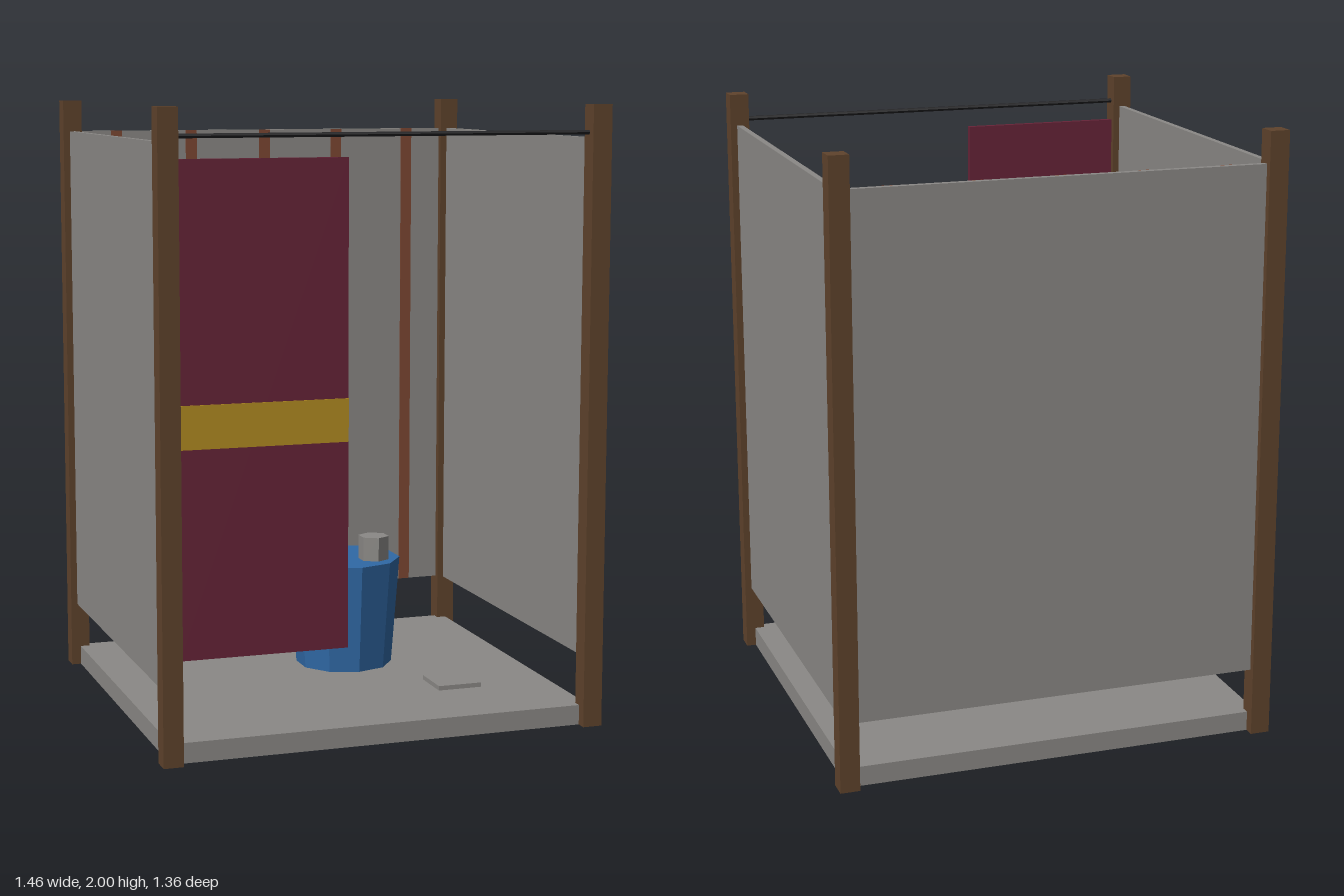
import * as THREE from 'three';

const mat = (name, color) => {
  const m = new THREE.MeshStandardMaterial({ color, flatShading: true });
  m.name = name;
  return m;
};

export function createModel() {
  const grey = mat('grey', 0x8b8986);
  const wood = mat('brown wood', 0x5f432c);
  const rust = mat('rust', 0x7d4833);
  const maroon = mat('maroon', 0x672438);
  const gold = mat('gold', 0xb48c22);
  const blue = mat('blue', 0x3069a6);
  const black = mat('black', 0x222224);

  const group = new THREE.Group();
  const add = (name, geometry, material, x, y, z) => {
    const mesh = new THREE.Mesh(geometry, material);
    mesh.name = name;
    mesh.position.set(x, y, z);
    group.add(mesh);
    return mesh;
  };
  // Box given by its min and max on each axis
  const box = (name, material, [x0, x1], [y0, y1], [z0, z1]) =>
    add(name, new THREE.BoxGeometry(x1 - x0, y1 - y0, z1 - z0), material,
      (x0 + x1) / 2, (y0 + y1) / 2, (z0 + z1) / 2);

  // Floor tray and drain cover
  box('floor', grey, [-0.7, 0.7], [0, 0.065], [-0.645, 0.645]);
  box('drain', grey, [0.3, 0.45], [0.065, 0.08], [0.19, 0.34]);

  // Corner posts
  for (const x of [-0.7, 0.7])
    for (const z of [-0.648, 0.648])
      box('post', wood, [x - 0.032, x + 0.032], [0, 2], [z - 0.032, z + 0.032]);

  // Three wall panels, raised off the floor
  const wallY = [0.22, 1.895];
  box('backWall', grey, [-0.7, 0.7], wallY, [-0.659, -0.638]);
  for (const s of [-1, 1])
    box('sideWall', grey, [s * 0.7 - 0.01, s * 0.7 + 0.01], wallY, [-0.645, 0.645]);

  // Rust streaks down the inside of the back wall
  for (let i = -2; i <= 2; i++)
    box('rustStreak', rust, [i * 0.27 - 0.02, i * 0.27 + 0.02], wallY, [-0.639, -0.635]);

  // Curtain rail, curtain and its band
  const rail = add('curtainRail', new THREE.CylinderGeometry(0.008, 0.008, 1.36, 6), black, 0, 1.913, 0.647);
  rail.rotation.z = Math.PI / 2;
  box('curtain', maroon, [-0.67, -0.13], [0.325, 1.845], [0.635, 0.655]);
  box('curtainBand', gold, [-0.67, -0.13], [0.975, 1.11], [0.654, 0.658]);

  // Shelf with a bar of soap
  box('shelf', wood, [-0.165, 0.16], [1.19, 1.222], [-0.638, -0.535]);
  box('soap', rust, [-0.11, -0.003], [1.222, 1.265], [-0.616, -0.555]);

  // Water barrel with a cup on top
  add('barrel', new THREE.CylinderGeometry(0.193, 0.165, 0.37, 10), blue, 0.128, 0.25, -0.132);
  add('cup', new THREE.CylinderGeometry(0.053, 0.053, 0.083, 6), grey, 0.214, 0.475, -0.067);

  return group;
}
